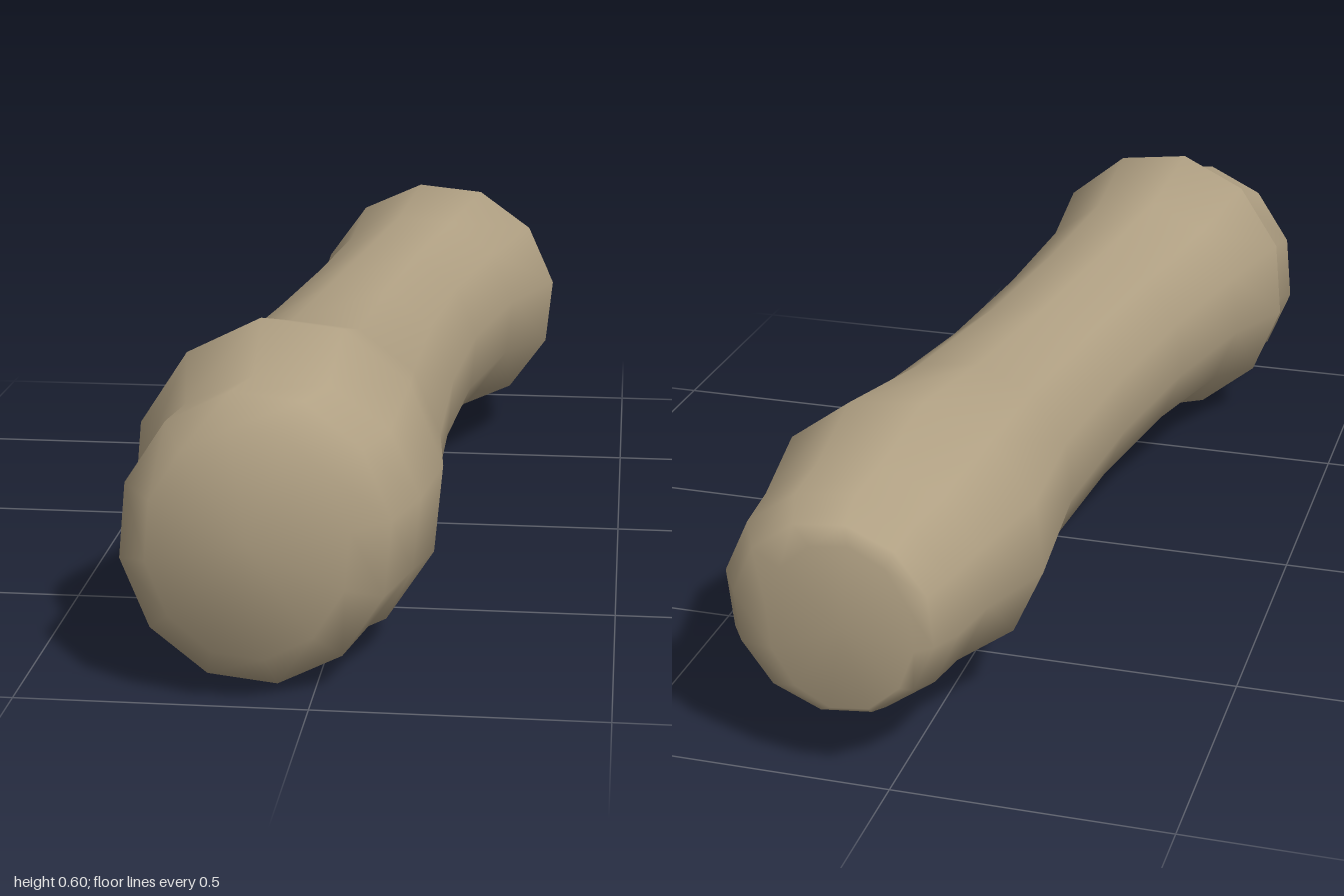
import * as THREE from 'three';

const SIDES = 12;
const PHASE = THREE.MathUtils.degToRad(9);

// Cross-sections from front to back: z, left x, right x, bottom y, top y
const SECTIONS = [
  [1.0, -0.27, 0.07, 0.085, 0.48],
  [0.915, -0.33, 0.13, 0.01, 0.52],
  [0.83, -0.315, 0.17, 0.035, 0.525],
  [0.73, -0.34, 0.2, 0.0, 0.6],
  [0.54, -0.28, 0.18, 0.07, 0.55],
  [0.22, -0.228, 0.18, 0.115, 0.545],
  [-0.1, -0.188, 0.203, 0.13, 0.545],
  [-0.42, -0.165, 0.26, 0.12, 0.55],
  [-0.67, -0.18, 0.338, 0.058, 0.575],
  [-0.81, -0.122, 0.325, 0.095, 0.515],
  [-0.91, -0.1, 0.318, 0.095, 0.505],
  [-0.97, -0.075, 0.28, 0.12, 0.478],
  [-1.0, -0.05, 0.21, 0.145, 0.455],
];

// Smooth loft through elliptical rings, closed by a fan at each end
function loft(sections) {
  const pos = [], index = [];
  const reach = Math.cos(PHASE);
  for (const [z, x0, x1, y0, y1] of sections) {
    for (let j = 0; j < SIDES; j++) {
      const a = PHASE + (j / SIDES) * Math.PI * 2;
      pos.push(
        (x0 + x1) / 2 + ((x1 - x0) / 2 / reach) * Math.cos(a),
        (y0 + y1) / 2 + ((y1 - y0) / 2 / reach) * Math.sin(a),
        z
      );
    }
  }
  const last = (sections.length - 1) * SIDES;
  const frontCentre = pos.length / 3;
  for (const [z, x0, x1, y0, y1] of [sections[0], sections[sections.length - 1]]) {
    pos.push((x0 + x1) / 2, (y0 + y1) / 2, z);
  }
  for (let j = 0; j < SIDES; j++) {
    const k = (j + 1) % SIDES;
    for (let i = 0; i < last; i += SIDES) {
      index.push(i + j, i + SIDES + j, i + k);
      index.push(i + k, i + SIDES + j, i + SIDES + k);
    }
    index.push(frontCentre, j, k);
    index.push(frontCentre + 1, last + k, last + j);
  }
  const geo = new THREE.BufferGeometry();
  geo.setAttribute('position', new THREE.Float32BufferAttribute(pos, 3));
  geo.setIndex(index);
  geo.computeVertexNormals();
  return geo;
}

export function createModel() {
  const model = new THREE.Group();
  model.name = 'bone';
  const tan = new THREE.MeshStandardMaterial({ color: 0xb0a083 });
  tan.name = 'tan';

  // Shaft with a knobbly swelling at each end
  const shaft = new THREE.Mesh(loft(SECTIONS), tan);
  shaft.name = 'boneShaft';
  shaft.geometry.computeBoundingBox();
  shaft.position.y = -shaft.geometry.boundingBox.min.y;
  model.add(shaft);
  return model;
}
